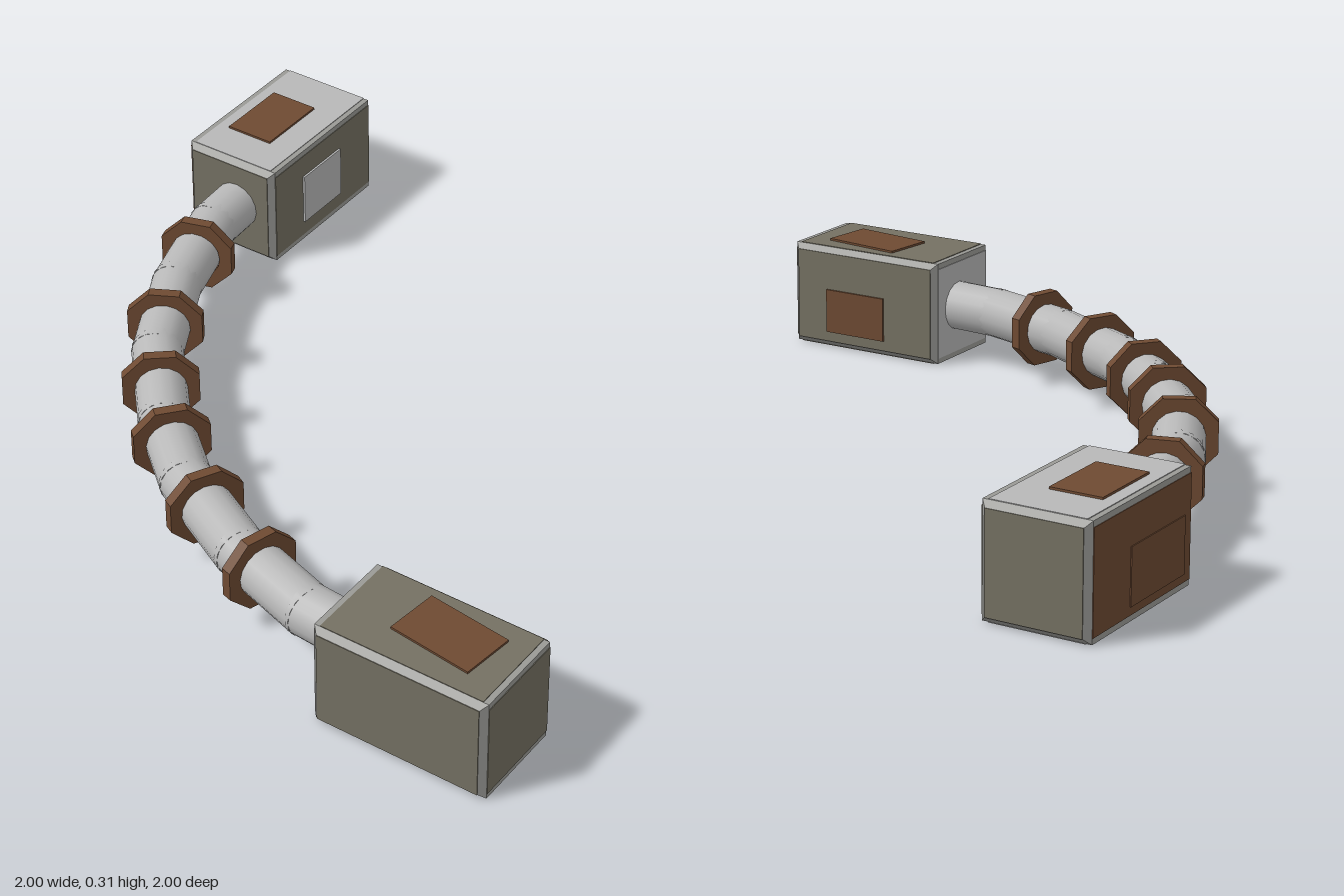
import * as THREE from 'three';

const mat = (name, color) => {
  const m = new THREE.MeshStandardMaterial({ color });
  m.name = name;
  return m;
};

export function createModel() {
  const lightGrey = mat('light grey', 0xb8b8b8);
  const frameGrey = mat('frame grey', 0x9a9a96);
  const drab = mat('drab grey', 0x757163);
  const brown = mat('rust brown', 0x6e4a32);

  const model = new THREE.Group();
  const add = (parent, name, geometry, material, x = 0, y = 0, z = 0) => {
    const mesh = new THREE.Mesh(geometry, material);
    mesh.name = name;
    mesh.position.set(x, y, z);
    parent.add(mesh);
    return mesh;
  };

  // Box with a flat chamfer along every edge
  const chamferBox = (w, h, d, b) => {
    const x = w / 2 - b, y = h / 2 - b;
    const shape = new THREE.Shape([[-x, -y], [x, -y], [x, y], [-x, y]].map(p => new THREE.Vector2(...p)));
    const g = new THREE.ExtrudeGeometry(shape, {
      depth: d - 2 * b, bevelEnabled: true, bevelSize: b, bevelThickness: b, bevelSegments: 1,
    });
    return g.translate(0, 0, b - d / 2);
  };

  // Crate: chamfered frame with a thin coloured panel on each of its six faces
  const crate = (name, size, center, colours) => {
    const group = new THREE.Group();
    group.name = name;
    group.position.set(...center);
    model.add(group);
    const lip = 0.002, margin = 0.018;
    add(group, 'frame', chamferBox(...size.map(s => s - 2 * lip), 0.016), frameGrey);
    ['left', 'right', 'top', 'bottom', 'front', 'back'].forEach((side, i) => {
      const axis = i >> 1, sign = i % 2 ? -1 : 1;
      const dims = size.map((s, k) => (k === axis ? 0.004 : s - 2 * margin));
      const pos = [0, 0, 0];
      pos[axis] = sign * (size[axis] / 2 - 0.002);
      add(group, side + 'Panel', new THREE.BoxGeometry(...dims), colours[i], ...pos);
    });
  };
  crate('rearCrate', [0.3, 0.306, 0.5], [-0.848, 0.153, -0.75],
    [drab, brown, lightGrey, lightGrey, drab, drab]);
  crate('frontCrate', [0.5, 0.306, 0.3], [0.75, 0.153, 0.845],
    [drab, lightGrey, drab, drab, drab, drab]);

  // Repair patches
  const patch = (name, w, h, d, material, x, y, z) =>
    add(model, name, new THREE.BoxGeometry(w, h, d), material, x, y, z);
  patch('rearTopPatch', 0.145, 0.008, 0.22, brown, -0.872, 0.308, -0.74);
  patch('rearLeftPatch', 0.008, 0.155, 0.18, lightGrey, -0.696, 0.142, -0.74);
  patch('rearRightPatch', 0.006, 0.15, 0.26, brown, -0.998, 0.115, -0.68);
  patch('frontTopPatch', 0.24, 0.008, 0.15, brown, 0.79, 0.308, 0.83).rotation.y = -0.12;
  patch('frontBackPatch', 0.2, 0.13, 0.008, brown, 0.78, 0.113, 0.693);

  // Bent pipe: straight sections that overlap at the joints
  const joints = [
    [-0.83, -0.55], [-0.82, -0.38], [-0.73, -0.09], [-0.585, 0.185], [-0.385, 0.415],
    [-0.19, 0.58], [0.09, 0.725], [0.36, 0.81], [0.55, 0.825],
  ].map(([x, z]) => new THREE.Vector3(x, 0.157, z));
  const up = new THREE.Vector3(0, 1, 0);
  for (let i = 0; i < joints.length - 1; i++) {
    const a = joints[i], b = joints[i + 1];
    const dir = b.clone().sub(a);
    const mid = a.clone().add(b).multiplyScalar(0.5);
    const section = add(model, 'pipeSection',
      new THREE.CylinderGeometry(0.071, 0.071, dir.length() + 0.026, 16), lightGrey, ...mid.toArray());
    section.quaternion.setFromUnitVectors(up, dir.normalize());
  }

  // Octagonal collars, each given by x, z and the direction of the pipe there
  const ring = new THREE.Shape();
  const trace = (path, r, n, start) => path.setFromPoints(Array.from({ length: n }, (_, i) => {
    const t = start + (i / n) * Math.PI * 2;
    return new THREE.Vector2(r * Math.cos(t), r * Math.sin(t));
  }));
  trace(ring, 0.112, 8, Math.PI / 8);
  ring.holes.push(trace(new THREE.Path(), 0.069, 16, 0));
  const collar = new THREE.ExtrudeGeometry(ring, { depth: 0.03, bevelEnabled: false }).translate(0, 0, -0.015);
  [
    [-0.775, -0.25, 0.06, 0.2], [-0.645, 0.07, 0.09, 0.17], [-0.485, 0.3, 0.125, 0.15],
    [-0.32, 0.47, 0.15, 0.125], [-0.09, 0.63, 0.175, 0.09], [0.17, 0.75, 0.2, 0.06],
  ].forEach(([x, z, dx, dz]) => {
    add(model, 'collar', collar, brown, x, 0.157, z).rotation.y = Math.atan2(dx, dz);
  });

  return model;
}
